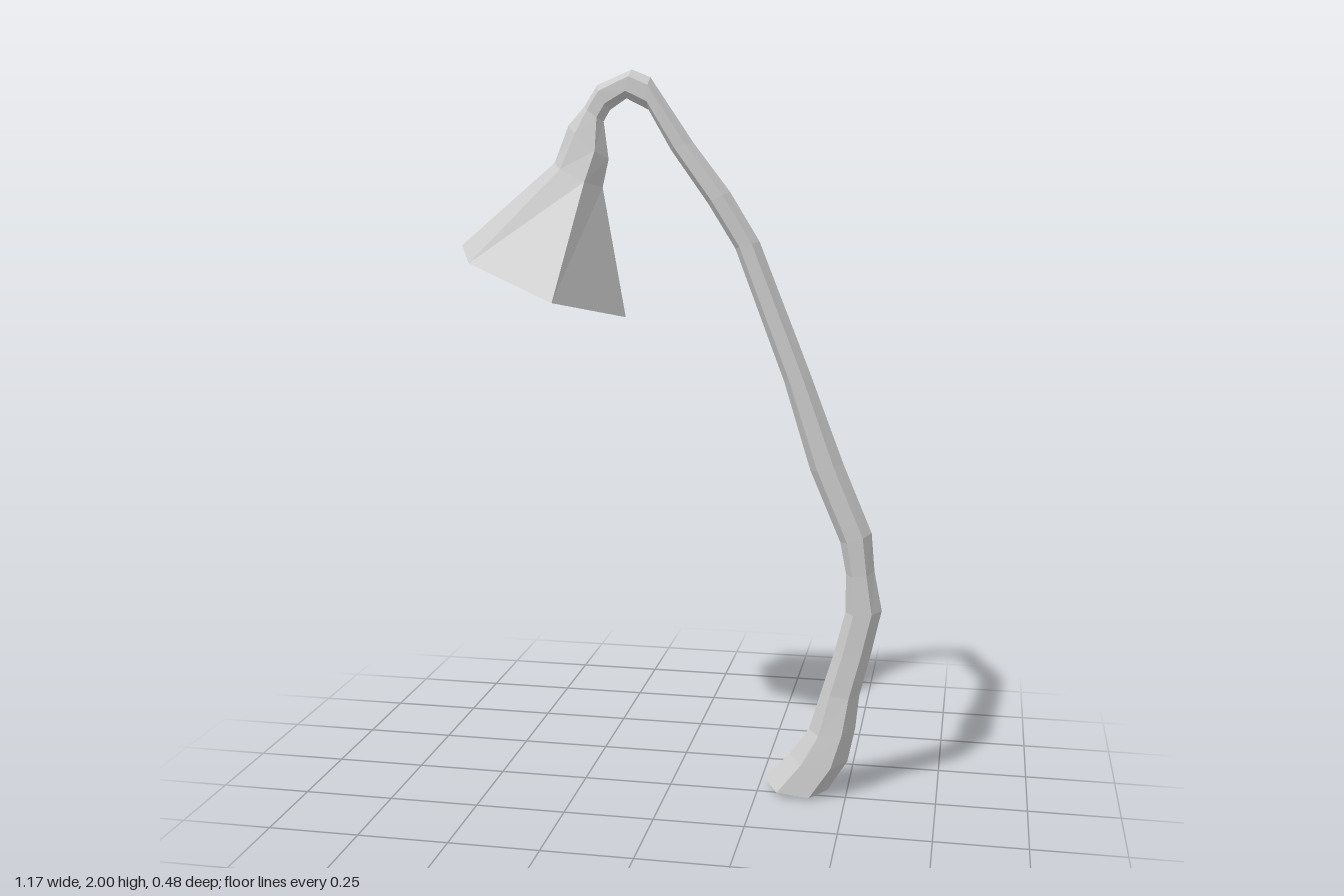
import * as THREE from 'three';

// Six-sided ring spanning an outer edge point and an inner edge point, widened in z.
// t1/t2 place the side corners between the two edges; w1/w2 are their half widths.
function ring([ox, oy, ix, iy, zc, w1, w2 = w1, t1 = 0.25, t2 = 0.75]) {
  const at = (t, z) => new THREE.Vector3(ox + (ix - ox) * t, oy + (iy - oy) * t, zc + z);
  return [at(0, 0), at(t1, w1), at(t2, w2), at(1, 0), at(t2, -w2), at(t1, -w1)];
}

function centre(points) {
  return points.reduce((sum, p) => sum.add(p), new THREE.Vector3()).divideScalar(points.length);
}

// Copy of a ring shrunk about its centre and moved by (dx, dy)
function inset(points, scale, dx = 0, dy = 0) {
  const c = centre(points);
  const shift = new THREE.Vector3(dx, dy, 0);
  return points.map((p) => p.clone().sub(c).multiplyScalar(scale).add(c).add(shift));
}

// Skin a list of rings, with optional caps
function loft(name, rings, material, capStart, capEnd) {
  const pos = [];
  const tri = (...corners) => corners.forEach((p) => pos.push(p.x, p.y, p.z));
  const n = rings[0].length;
  const first = rings[0];
  const last = rings[rings.length - 1];
  const c0 = centre(first);
  const c1 = centre(last);
  for (let j = 0; j < n; j++) {
    const k = (j + 1) % n;
    for (let i = 0; i < rings.length - 1; i++) {
      const a = rings[i];
      const b = rings[i + 1];
      tri(a[j], b[j], a[k]);
      tri(a[k], b[j], b[k]);
    }
    if (capStart) tri(c0, first[j], first[k]);
    if (capEnd) tri(c1, last[k], last[j]);
  }
  const geometry = new THREE.BufferGeometry();
  geometry.setAttribute('position', new THREE.Float32BufferAttribute(pos, 3));
  geometry.computeVertexNormals();
  const mesh = new THREE.Mesh(geometry, material);
  mesh.name = name;
  return mesh;
}

export function createModel() {
  const group = new THREE.Group();
  group.name = 'droopingBellFlower';
  const material = new THREE.MeshStandardMaterial({ color: 0xcccccc, flatShading: true });

  // Stem: outer x, y, inner x, y, z centre, half width
  const stem = [
    [0.445, 0.0, 0.265, 0.02, -0.045, 0.085],
    [0.5, 0.09, 0.335, 0.1, -0.045, 0.077],
    [0.52, 0.19, 0.39, 0.18, -0.042, 0.064],
    [0.53, 0.29, 0.425, 0.3, -0.037, 0.048],
    [0.56, 0.415, 0.46, 0.42, -0.034, 0.044],
    [0.587, 0.54, 0.487, 0.53, -0.03, 0.042],
    [0.565, 0.65, 0.487, 0.64, -0.026, 0.038],
    [0.555, 0.76, 0.47, 0.73, -0.022, 0.038],
    [0.475, 0.95, 0.385, 0.93, -0.016, 0.036],
    [0.38, 1.2, 0.31, 1.175, -0.011, 0.032],
    [0.24, 1.55, 0.175, 1.53, -0.008, 0.032],
    [0.16, 1.68, 0.1, 1.65, -0.006, 0.034],
    [0.06, 1.81, 0.0, 1.79, -0.004, 0.032],
    [-0.055, 1.98, -0.06, 1.895, 0, 0.032],
    [-0.105, 2.0, -0.12, 1.925, 0, 0.032],
    [-0.2, 1.96, -0.165, 1.895, 0, 0.028],
    [-0.235, 1.905, -0.183, 1.865, 0, 0.028],
  ].map(ring);
  group.add(loft('stem', stem, material, true, false));

  // Bell: flares from the stem tip to the rim, then turns back inside
  const neck = ring([-0.28, 1.855, -0.17, 1.765, 0, 0.045]);
  const shoulder = ring([-0.32, 1.755, -0.187, 1.69, 0, 0.072]);
  const rim = ring([-0.587, 1.53, -0.125, 1.34, 0, 0.202, 0.242, 0.18, 0.69]);
  const lip = inset(rim, 0.86);
  const throat = inset(shoulder, 0.7, -0.01, -0.03);
  const bell = [stem[stem.length - 1], neck, shoulder, rim, lip, throat];
  group.add(loft('flowerBell', bell, material, false, true));

  return group;
}
